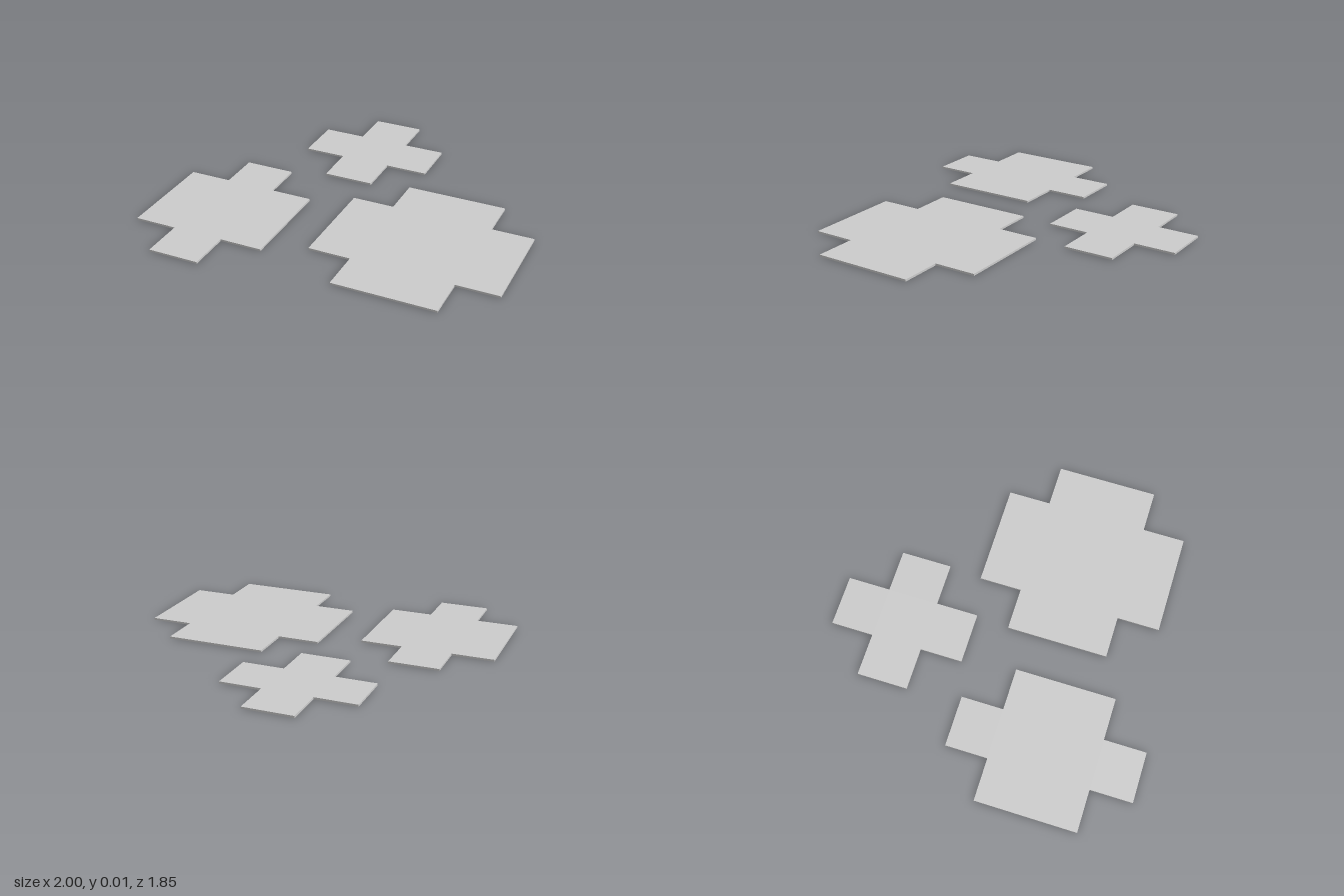
import * as THREE from 'three';

const UNIT = 0.281;      // core width of the smallest panel
const FLAP = 0.235;      // how far each flap reaches out of the core
const THICKNESS = 0.011;

// Flat cross outline: a w x d core with a flap on each of its four sides
function crossShape(w, d) {
  const a = w / 2, b = d / 2, A = a + FLAP, B = b + FLAP;
  return new THREE.Shape([
    [a, B], [-a, B], [-a, b], [-A, b], [-A, -b], [-a, -b],
    [-a, -B], [a, -B], [a, -b], [A, -b], [A, b], [a, b],
  ].map(([x, y]) => new THREE.Vector2(x, y)));
}

export function createModel() {
  const model = new THREE.Group();
  model.name = 'crossPanels';
  const material = new THREE.MeshStandardMaterial({ color: 0xcccccc, flatShading: true });

  // name, core width and depth in units, centre x and z
  const panels = [
    ['smallCrossPanel', 1, 1, -0.155, -0.549],
    ['longCrossPanel', 1, 2, -0.625, 0.407],
    ['largeCrossPanel', 2, 2, 0.484, 0.293],
  ];
  for (const [name, w, d, x, z] of panels) {
    const geometry = new THREE.ExtrudeGeometry(crossShape(w * UNIT, d * UNIT), {
      depth: THICKNESS, bevelEnabled: false,
    });
    geometry.rotateX(-Math.PI / 2); // lay flat, extruded upwards from y = 0
    const panel = new THREE.Mesh(geometry, material);
    panel.name = name;
    panel.position.set(x, 0, z);
    model.add(panel);
  }
  return model;
}
